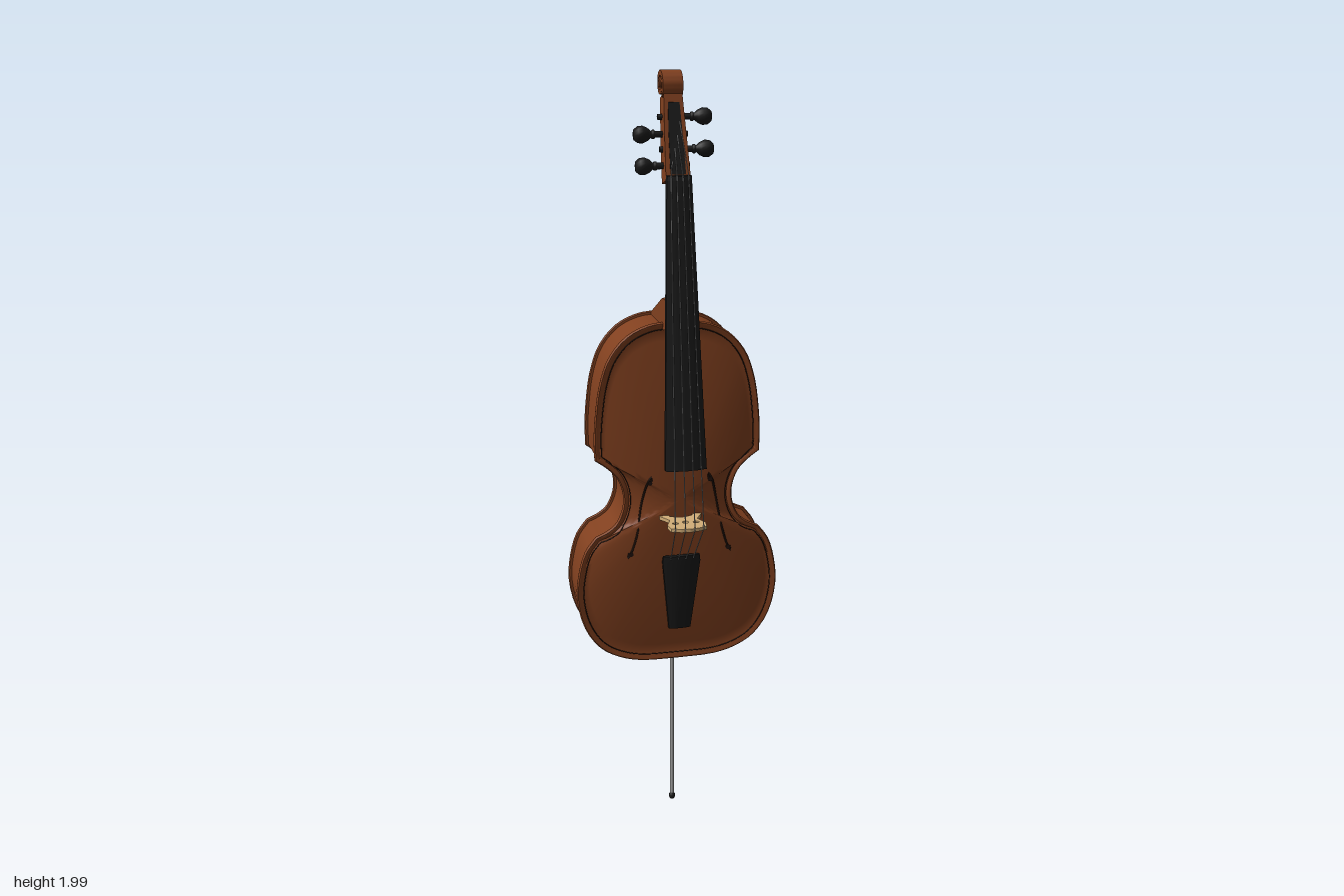
import * as THREE from 'three';
import { toCreasedNormals } from 'three/addons/utils/BufferGeometryUtils.js';

const mat = (name, color) => Object.assign(new THREE.MeshStandardMaterial({ color }), { name });
const V = (x, y, z) => new THREE.Vector3(x, y, z);
const V2 = (x, y) => new THREE.Vector2(x, y);

// Skin a list of equal closed rings and cap both ends
function loft(rings, crease = 0.6) {
  const n = rings[0].length, pos = [], idx = [];
  rings.forEach(r => r.forEach(p => pos.push(p.x, p.y, p.z)));
  for (let i = 0; i < rings.length - 1; i++) for (let j = 0; j < n; j++) {
    const k = (j + 1) % n, a = i * n + j, b = i * n + k, c = a + n, d = b + n;
    idx.push(a, b, d, a, d, c);
  }
  [0, rings.length - 1].forEach((r, end) => {
    const c = rings[r].reduce((s, p) => s.add(p), V(0, 0, 0)).divideScalar(n);
    const ci = pos.length / 3;
    pos.push(c.x, c.y, c.z);
    for (let j = 0; j < n; j++) {
      const a = r * n + j, b = r * n + (j + 1) % n;
      if (end) idx.push(ci, a, b); else idx.push(ci, b, a);
    }
  });
  const g = new THREE.BufferGeometry();
  g.setAttribute('position', new THREE.Float32BufferAttribute(pos, 3));
  g.setIndex(idx);
  return toCreasedNormals(g, crease);
}

// Body outline, counter-clockwise: lower bout, waist, upper bout, then mirrored
const CY = 0.935;
function bodyOutline() {
  const bouts = [
    [[0, 0.475], [0.1, 0.478], [0.16, 0.494], [0.21, 0.525], [0.25, 0.585], [0.269, 0.67], [0.263, 0.74], [0.245, 0.8], [0.217, 0.838]],
    [[0.217, 0.838], [0.185, 0.853], [0.162, 0.873], [0.145, 0.915], [0.145, 0.955], [0.16, 0.995], [0.185, 1.022], [0.216, 1.045]],
    [[0.216, 1.045], [0.217, 1.1], [0.213, 1.16], [0.201, 1.24], [0.176, 1.31], [0.13, 1.363], [0.07, 1.39], [0, 1.395]],
  ];
  const half = [];
  bouts.forEach((b, i) => {
    const pts = new THREE.CatmullRomCurve3(b.map(p => V(p[0], p[1], 0))).getPoints(24);
    half.push(...(i ? pts.slice(1) : pts));
  });
  return [...half, ...half.slice(1, -1).reverse().map(p => V(-p.x, p.y, 0))];
}
const OUT = bodyOutline();

// Outline moved inwards by d, at depth z
const inset = (d, z) => OUT.map((p, i) => {
  const t = OUT[(i + 1) % OUT.length].clone().sub(OUT[(i + OUT.length - 1) % OUT.length]).normalize();
  return V(p.x - t.y * d, p.y + t.x * d, z);
});
const EDGE = inset(0.014, 0);
const domeZ = s => 0.017 + 0.029 * (1 - s * s);

// Height of the arched front at a point, from its share of the way to the edge
function bellyZ(x, y) {
  const q = y - CY;
  let s = 0;
  EDGE.forEach((a, i) => {
    const b = EDGE[(i + 1) % EDGE.length], ay = a.y - CY, by = b.y - CY;
    const det = a.x * by - ay * b.x, u = (x * by - q * b.x) / det, v = (a.x * q - ay * x) / det;
    if (u >= 0 && v >= 0) s = u + v;
  });
  return domeZ(Math.min(s, 1));
}

// Board with a rounded front: rows of [y, half width, front z, thickness, crown]
const board = rows => loft(rows.map(([y, w, z, t, crown]) => {
  const ring = [];
  for (let i = 0; i <= 8; i++) {
    const u = i / 4 - 1;
    ring.push(V(u * w, y, z - crown * u * u));
  }
  ring.push(V(w, y, z - t), V(-w, y, z - t));
  return ring;
}));

// Extrude a (z, y) side profile across x
function sideExtrude(points, width) {
  const g = new THREE.ExtrudeGeometry(new THREE.Shape(points), { depth: width, bevelEnabled: false });
  g.translate(0, 0, -width / 2).rotateY(-Math.PI / 2);
  return toCreasedNormals(g, 0.6);
}

function rod(a, b, r) {
  const d = b.clone().sub(a);
  const g = new THREE.CylinderGeometry(r, r, d.length(), 8);
  g.applyQuaternion(new THREE.Quaternion().setFromUnitVectors(V(0, 1, 0), d.normalize()));
  const m = a.clone().add(b).multiplyScalar(0.5);
  return g.translate(m.x, m.y, m.z);
}

export function createModel() {
  const wood = mat('varnished wood', 0x81401f), ebony = mat('ebony', 0x1a1a1a);
  const maple = mat('pale maple', 0xd2ae78), steel = mat('steel', 0xa0a0a0), ink = mat('dark inlay', 0x1e110a);
  const model = new THREE.Group();
  model.name = 'cello';
  const add = (name, geo, m) => {
    const mesh = new THREE.Mesh(geo, m);
    mesh.name = name;
    model.add(mesh);
    return mesh;
  };

  // Ribs and the two arched plates with rounded overhanging edges
  add('ribs', loft([inset(0.008, -0.124), inset(0.008, 0.012)]), wood);
  const rings = [inset(0.009, 0.009), inset(0.002, 0.0095), inset(0, 0.012), inset(0, 0.017), inset(0.003, 0.0205), inset(0.008, 0.0205)];
  for (let i = 0; i < 14; i++) {
    const s = 1 - i / 14;
    rings.push(EDGE.map(p => V(p.x * s, CY + (p.y - CY) * s, domeZ(s))));
  }
  const plate = loft(rings, 0.8);
  const toBack = g => g.clone().rotateY(Math.PI).translate(0, 0, -0.112);
  add('frontPlate', plate, wood);
  add('backPlate', toBack(plate), wood);

  // Inlaid line near the edge of both plates
  const line = inset(0.018, 0).map(p => V(p.x, p.y, bellyZ(p.x, p.y)));
  const inlay = new THREE.TubeGeometry(new THREE.CatmullRomCurve3(line, true), 300, 0.0014, 5, true);
  add('frontInlay', inlay, ink);
  add('backInlay', toBack(inlay), ink);

  // Sound holes: curved slots with a round eye at each end
  for (const s of [1, -1]) {
    const path = [[0.076, 0.985], [0.074, 1.0], [0.084, 0.985], [0.098, 0.93], [0.105, 0.89], [0.112, 0.85], [0.127, 0.8], [0.137, 0.782], [0.133, 0.797]];
    const curve = new THREE.CatmullRomCurve3(path.map(([x, y]) => V(s * x, y, bellyZ(x, y))));
    add('soundHole', new THREE.TubeGeometry(curve, 50, 0.0028, 6), ink);
    for (const [x, y] of [[0.079, 0.984], [0.129, 0.792]]) {
      const eye = new THREE.CylinderGeometry(0.006, 0.006, 0.006, 16).rotateX(Math.PI / 2);
      add('soundHoleEye', eye.translate(s * x, y, bellyZ(x, y)), ink);
    }
  }

  // Neck with a rounded back, and its heel on the ribs
  const neckRing = (y, w, z, d) => Array.from({ length: 17 }, (_, i) => {
    const a = Math.PI / 2 + Math.PI * i / 16;
    return V(w * Math.sin(a), y, z + d * Math.cos(a));
  });
  add('neck', loft([neckRing(1.38, 0.042, 0.061, 0.045), neckRing(1.46, 0.038, 0.052, 0.038), neckRing(1.745, 0.029, 0.021, 0.028)]), wood);
  add('heel', sideExtrude([V2(0.066, 1.385), V2(0.056, 1.455), V2(0.014, 1.455), V2(-0.122, 1.393), V2(-0.122, 1.375), V2(0.015, 1.375)], 0.078), wood);
  add('fingerboard', board([[1.035, 0.053, 0.12, 0.022, 0.009], [1.745, 0.031, 0.038, 0.017, 0.005]]), ebony);
  add('nut', board([[1.742, 0.031, 0.041, 0.022, 0.005], [1.753, 0.03, 0.039, 0.022, 0.005]]), ebony);

  // Pegbox, leaning backwards, with its dark slot
  const boxRing = (y, w, zf, zb, yb = y) => [V(-w, y, zf), V(w, y, zf), V(w, yb, zb), V(-w, yb, zb)];
  add('pegbox', loft([boxRing(1.742, 0.031, 0.024, -0.022, 1.728), boxRing(1.85, 0.027, -0.01, -0.056, 1.838), boxRing(1.94, 0.023, -0.036, -0.078, 1.928)]), wood);
  add('pegboxSlot', loft([boxRing(1.755, 0.019, 0.0225, 0.015), boxRing(1.85, 0.017, -0.0075, -0.015), boxRing(1.92, 0.014, -0.0275, -0.035)]), ebony);

  // Scroll: a spiral band curling over the top, with a centre eye
  const outer = [], inner = [];
  for (let i = 0; i <= 60; i++) {
    const t = i / 60, a = -0.9 + t * Math.PI * 3.3, r = 0.039 - 0.026 * t, th = 0.014 - 0.006 * t;
    outer.push(V2(-0.07 + r * Math.cos(a), 1.961 + r * Math.sin(a)));
    inner.push(V2(-0.07 + (r - th) * Math.cos(a), 1.961 + (r - th) * Math.sin(a)));
  }
  add('scroll', sideExtrude([...outer, ...inner.reverse()], 0.05), wood);
  add('scrollCore', new THREE.CylinderGeometry(0.029, 0.029, 0.036, 28).rotateZ(Math.PI / 2).translate(0, 1.961, -0.07), wood);
  add('scrollEye', new THREE.CylinderGeometry(0.009, 0.009, 0.056, 16).rotateZ(Math.PI / 2).translate(0, 1.961, -0.07), wood);

  // Tuning pegs, alternating sides
  const pegProfile = [[0, -0.036], [0.007, -0.036], [0.008, 0.045], [0.011, 0.047], [0.011, 0.052], [0.008, 0.055], [0.016, 0.064], [0.021, 0.076], [0.02, 0.088], [0.013, 0.097], [0, 0.099]];
  const pegGeo = new THREE.LatheGeometry(pegProfile.map(p => V2(...p)), 16).rotateZ(-Math.PI / 2);
  [[1.885, 1], [1.845, -1], [1.81, 1], [1.772, -1]].forEach(([y, s]) => {
    const peg = add('tuningPeg', pegGeo, ebony);
    peg.position.set(0, y, -0.005 - 0.3 * (y - 1.74));
    peg.rotation.y = s > 0 ? 0 : Math.PI;
  });

  // Bridge: two feet, an arch, a waist and a curved crown, standing off the belly
  const half = [[0.014, 0.062], [0.03, 0.054], [0.032, 0.038], [0.055, 0.038], [0.054, 0.052], [0.045, 0.066], [0.036, 0.083], [0.043, 0.1], [0.05, 0.115], [0.046, 0.144], [0.022, 0.153]];
  const bridge = new THREE.Shape([V2(0, 0.065), ...half.map(p => V2(...p)), V2(0, 0.156), ...half.slice().reverse().map(p => V2(-p[0], p[1]))]);
  const heart = new THREE.Path();
  heart.absarc(0, 0.104, 0.008, 0, Math.PI * 2, true);
  bridge.holes.push(heart);
  for (const s of [1, -1]) {
    const slot = new THREE.Path();
    slot.absellipse(s * 0.027, 0.108, 0.008, 0.006, 0, Math.PI * 2, true);
    bridge.holes.push(slot);
  }
  const bridgeGeo = new THREE.ExtrudeGeometry(bridge, { depth: 0.009, bevelEnabled: false, curveSegments: 10 });
  add('bridge', bridgeGeo.rotateX(Math.PI / 2).translate(0, 0.894, 0), maple);

  // Tailpiece
  add('tailpiece', board([[0.573, 0.029, 0.044, 0.014, 0.004], [0.77, 0.05, 0.068, 0.016, 0.007], [0.787, 0.048, 0.069, 0.014, 0.007]]), ebony);

  // Strings from nut over bridge to tailpiece
  for (const u of [-1.5, -0.5, 0.5, 1.5]) {
    const c = u * u / 2.25;
    const top = V(u * 0.0145, 1.752, 0.041 - 0.002 * c), mid = V(u * 0.0245, 0.89, 0.1575 - 0.008 * c);
    add('string', rod(top, mid, 0.0014), steel);
    add('stringTail', rod(mid, V(u * 0.02, 0.78, 0.07 - 0.003 * c), 0.0014), steel);
    add('stringHead', rod(top, V(u * 0.008, 1.83 + u * 0.03, -0.002 - u * 0.009), 0.0012), steel);
  }

  // End pin with collar and tip
  add('endpinCollar', new THREE.CylinderGeometry(0.014, 0.012, 0.024, 20).translate(0, 0.466, -0.055), ebony);
  add('endpin', new THREE.CylinderGeometry(0.0055, 0.0055, 0.45, 14).translate(0, 0.235, -0.055), steel);
  add('endpinTip', new THREE.SphereGeometry(0.009, 16, 10).scale(1, 1.2, 1).translate(0, 0.011, -0.055), ebony);

  return model;
}
